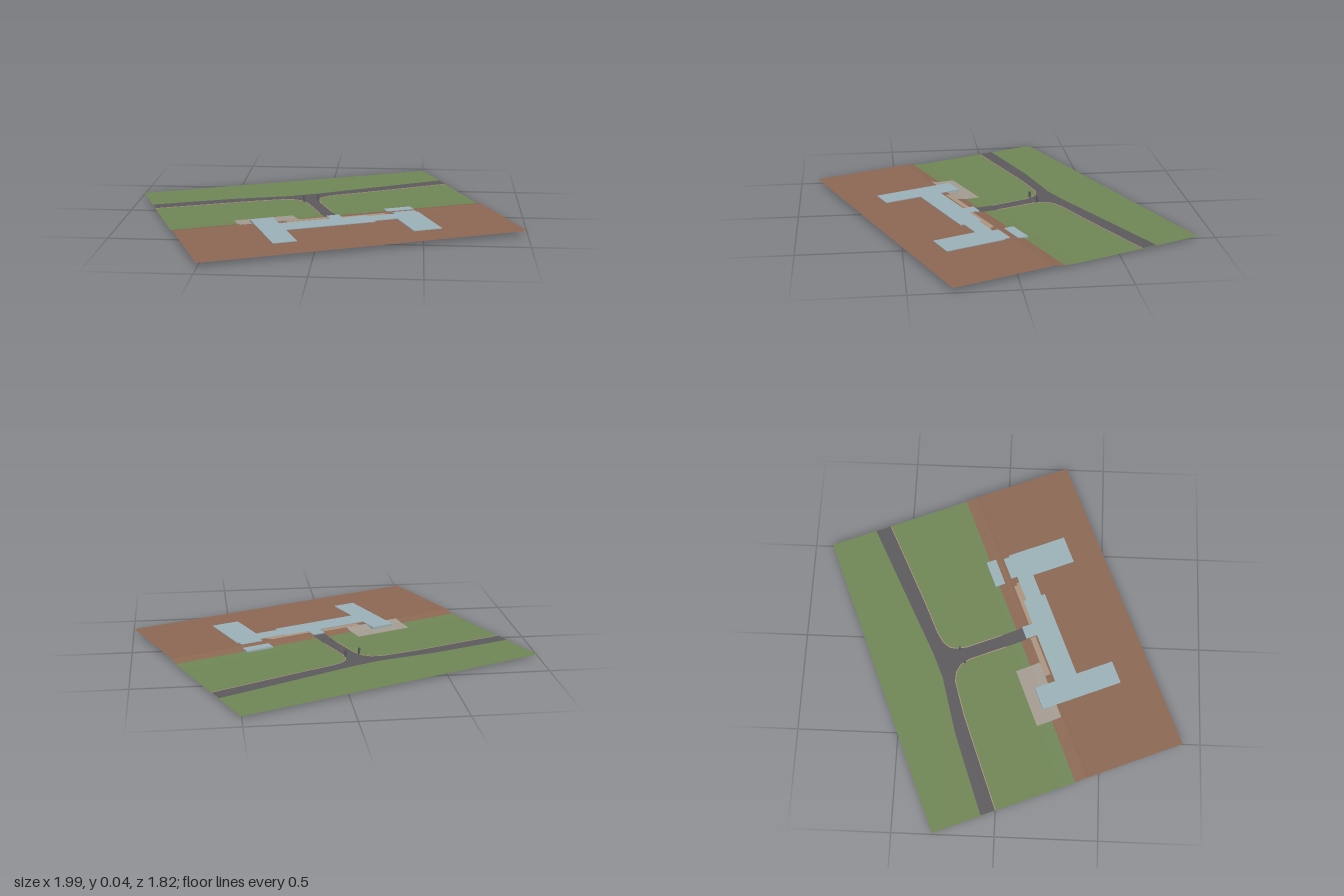
import * as THREE from 'three';

const mat = (name, color, side = THREE.FrontSide) => {
  const m = new THREE.MeshStandardMaterial({ color, side });
  m.name = name;
  return m;
};

// Ground profile: [z, height] across the site
const PROFILE = [[-0.655, 0.012], [0.01, 0.009], [0.09, 0.013], [0.145, 0.0235], [0.16, 0.022], [0.655, 0.022]];
function groundHeight(z) {
  for (let i = 1; i < PROFILE.length; i++) {
    const [z0, y0] = PROFILE[i - 1], [z1, y1] = PROFILE[i];
    if (z <= z1) return y0 + (y1 - y0) * (z - z0) / (z1 - z0);
  }
  return 0.022;
}

export function createModel() {
  const grass = mat('grass', 0x6f8555, THREE.DoubleSide);
  const soil = mat('soil', 0x8b6753, THREE.DoubleSide);
  const asphalt = mat('asphalt', 0x5b595c, THREE.DoubleSide);
  const paving = mat('paving', 0xa39b91, THREE.DoubleSide);
  const roof = mat('pale blue building', 0x9ab1b7);
  const beige = mat('beige stone', 0xab9480);

  const model = new THREE.Group();
  const site = new THREE.Group();
  site.name = 'site';
  site.rotation.y = 0.386; // the plot is turned against the axes
  model.add(site);

  function add(name, geometry, material) {
    const mesh = new THREE.Mesh(geometry, material);
    mesh.name = name;
    site.add(mesh);
    return mesh;
  }

  // Rectangle laid on the ground, folded at each crease of the profile
  function drape(name, x0, x1, z0, z1, lift, material) {
    const zs = [z0, ...PROFILE.map(p => p[0]).filter(z => z > z0 && z < z1), z1];
    const pos = [];
    for (let i = 1; i < zs.length; i++) {
      const a = zs[i - 1], b = zs[i];
      const ya = groundHeight(a) + lift, yb = groundHeight(b) + lift;
      pos.push(x0, ya, a, x0, yb, b, x1, yb, b, x0, ya, a, x1, yb, b, x1, ya, a);
    }
    const g = new THREE.BufferGeometry();
    g.setAttribute('position', new THREE.Float32BufferAttribute(pos, 3));
    g.computeVertexNormals();
    return add(name, g, material);
  }

  // Flat-topped block whose underside follows the ground
  function block(name, x0, x1, z0, z1, top, material) {
    const g = new THREE.BoxGeometry(x1 - x0, 1, z1 - z0, 1, 1, 24);
    g.translate((x0 + x1) / 2, 0, (z0 + z1) / 2);
    const p = g.attributes.position;
    for (let i = 0; i < p.count; i++) p.setY(i, p.getY(i) > 0 ? top : groundHeight(p.getZ(i)) + 0.0005);
    return add(name, g, material);
  }

  // Ground
  drape('grassField', -0.81, 0.81, -0.655, 0.088, 0, grass);
  drape('bareSoil', -0.81, 0.81, 0.088, 0.655, 0, soil);

  // Road with its flared junction: far edge, then both near edges
  const far = [[-0.808, -0.404], [-0.38, -0.386], [-0.08, -0.35], [0.06, -0.353], [0.258, -0.37], [0.808, -0.417]];
  const nearRight = [[0.808, -0.336], [0.34, -0.304], [0.16, -0.296], [0.1, -0.286], [0.06, -0.262], [0.044, -0.23], [0.034, -0.18], [0.034, 0.01]];
  const nearLeft = [[-0.032, 0.01], [-0.032, -0.19], [-0.045, -0.24], [-0.075, -0.275], [-0.12, -0.296], [-0.3, -0.313], [-0.808, -0.328]];
  const outline = [...far, ...nearRight, ...nearLeft].map(([x, z]) => new THREE.Vector2(x, -z));
  const road = new THREE.ShapeGeometry(new THREE.Shape(outline));
  road.rotateX(-Math.PI / 2);
  const rp = road.attributes.position;
  for (let i = 0; i < rp.count; i++) rp.setY(i, groundHeight(rp.getZ(i)) + 0.0015);
  road.computeVertexNormals();
  add('road', road, asphalt);
  drape('driveway', -0.032, 0.034, 0.01, 0.128, 0.0015, asphalt);

  // Thin kerbs along the near road edges
  for (const edge of [nearRight, nearLeft]) {
    for (let i = 1; i < edge.length; i++) {
      const [x0, z0] = edge[i - 1], [x1, z1] = edge[i];
      const kerb = add('kerb', new THREE.BoxGeometry(Math.hypot(x1 - x0, z1 - z0), 0.002, 0.004), beige);
      const zm = (z0 + z1) / 2;
      kerb.position.set((x0 + x1) / 2, groundHeight(zm) + 0.0012, zm);
      kerb.rotation.y = -Math.atan2(z1 - z0, x1 - x0);
    }
  }

  // Gate posts at the driveway mouth
  for (const x of [-0.041, 0.036]) {
    const post = add('gatePost', new THREE.BoxGeometry(0.008, 0.034, 0.008), asphalt);
    post.position.set(x, 0.027, -0.218);
  }

  // Paved terrace beside the left wing
  drape('terrace', -0.478, -0.172, 0.01, 0.138, 0.0015, paving);

  // Building: two wings joined by a long bar
  const top = 0.0262;
  block('westWing', -0.41, -0.292, 0.067, 0.483, top, roof);
  block('mainBar', -0.292, 0.168, 0.175, 0.291, top, roof);
  block('mainBarEnd', 0.168, 0.288, 0.19, 0.272, top, roof);
  block('eastWing', 0.288, 0.434, 0.19, 0.497, top, roof);
  block('eastWingHead', 0.308, 0.425, 0.158, 0.19, top, roof);
  block('entrance', -0.03, 0.036, 0.118, 0.175, top, roof);

  // Low porches either side of the entrance
  block('porch', -0.25, -0.034, 0.138, 0.166, 0.0252, beige);
  block('porch', 0.038, 0.262, 0.157, 0.175, 0.0252, beige);
  block('porchEnd', 0.168, 0.275, 0.175, 0.19, 0.0252, beige);

  // Sunken outbuilding, its footing reaching below the ground
  const shed = add('outbuilding', new THREE.BoxGeometry(0.143, 0.021, 0.052), roof);
  shed.position.set(0.366, 0.0105, 0.094);

  return model;
}
